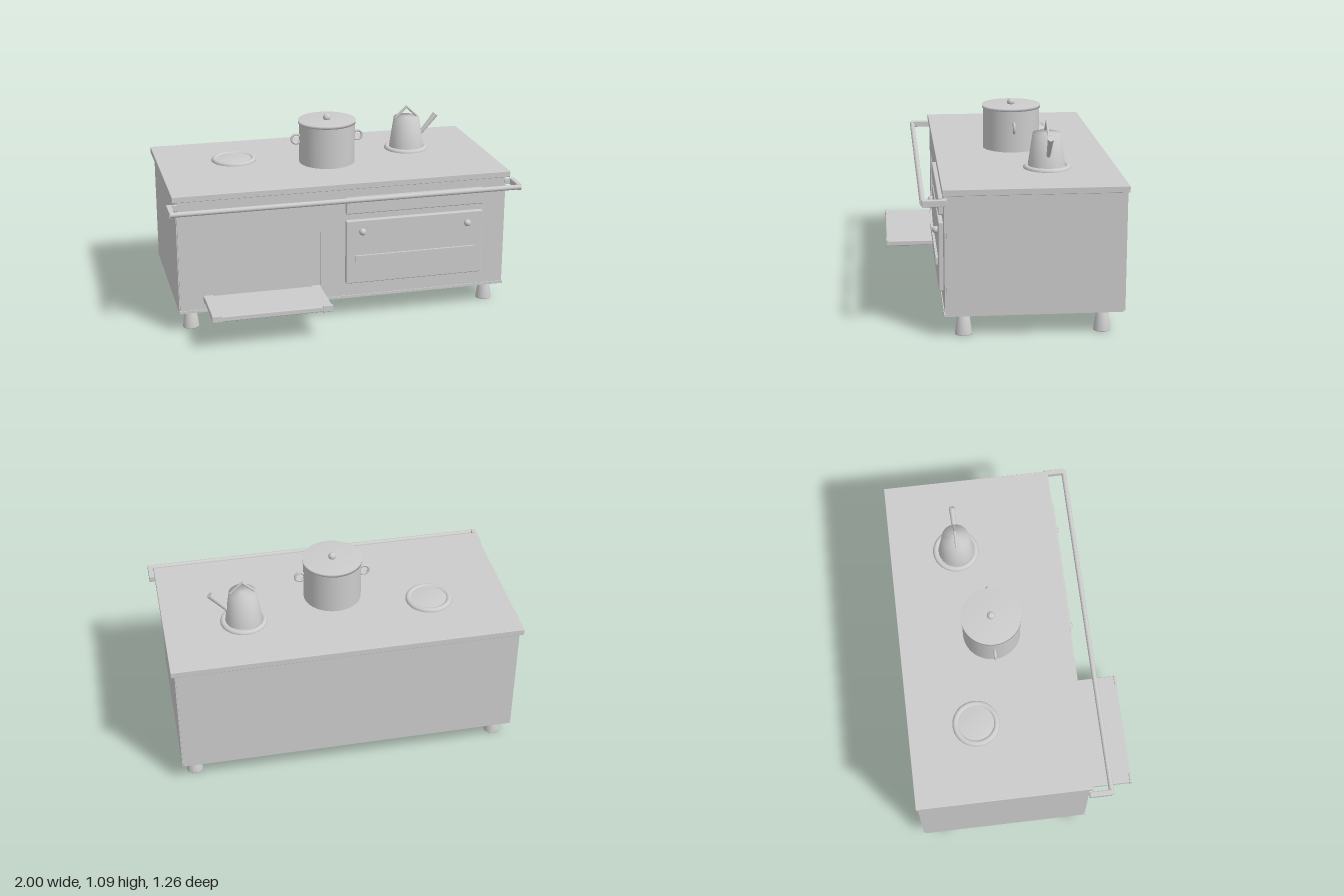
import * as THREE from 'three';
import { RoundedBoxGeometry } from 'three/addons/geometries/RoundedBoxGeometry.js';

const metal = new THREE.MeshStandardMaterial({ color: 0xcccccc });
metal.name = 'grey metal';

export function createModel() {
  const model = new THREE.Group();
  model.name = 'stove';

  const add = (name, geometry, x = 0, y = 0, z = 0, parent = model) => {
    const mesh = new THREE.Mesh(geometry, metal);
    mesh.name = name;
    mesh.position.set(x, y, z);
    parent.add(mesh);
    return mesh;
  };
  // Box given by its limits on each axis, with optional rounded edges
  const box = (name, x0, x1, y0, y1, z0, z1, round = 0) => {
    const s = [x1 - x0, y1 - y0, z1 - z0];
    const g = round ? new RoundedBoxGeometry(...s, 3, round) : new THREE.BoxGeometry(...s);
    return add(name, g, (x0 + x1) / 2, (y0 + y1) / 2, (z0 + z1) / 2);
  };
  // Closed turned solid with softly shaded rims
  const turned = (name, profile, x, y, z, parent) => add(name, new THREE.LatheGeometry(
    profile.map(([r, h]) => new THREE.Vector2(r, h)), 40), x, y, z, parent);

  // Cabinet
  box('cabinet', -0.95, 0.95, 0.12, 0.775, -0.613, 0.32);
  box('backPanel', -0.945, 0.945, 0.125, 0.775, -0.623, -0.613);
  box('worktop', -0.97, 0.97, 0.775, 0.81, -0.63, 0.34, 0.003);
  box('bottomTrim', -0.95, 0.95, 0.12, 0.135, 0.32, 0.335);

  // Front panel with a shallow firebox opening
  const panel = new THREE.Shape([[-0.945, 0.135], [0.945, 0.135], [0.945, 0.775], [-0.945, 0.775]]
    .map(p => new THREE.Vector2(...p)));
  panel.holes.push(new THREE.Path([[-0.81, 0.2], [-0.81, 0.6], [-0.145, 0.6], [-0.145, 0.2]]
    .map(p => new THREE.Vector2(...p))));
  add('frontPanel', new THREE.ExtrudeGeometry(panel, { depth: 0.01, bevelEnabled: false }), 0, 0, 0.32);

  // Tapered feet
  for (const x of [-0.875, 0.875]) for (const z of [-0.51, 0.23]) {
    turned('foot', [[0, 0], [0.046, 0], [0.046, 0.003], [0.03, 0.12], [0, 0.12]], x, 0, z);
  }

  // Towel rail and its brackets
  const rail = add('rail', new THREE.CylinderGeometry(0.014, 0.014, 1.99, 20), 0, 0.746, 0.441);
  rail.rotation.z = Math.PI / 2;
  for (const s of [-1, 1]) {
    const [a, b] = s < 0 ? [-1, -0.972] : [0.972, 1];
    box('railBracket', a, b, 0.728, 0.764, 0.32, 0.445, 0.004);
    // Foot joining the bracket to the cabinet
    box('bracketFoot', Math.min(s * 0.94, s * 0.975), Math.max(s * 0.94, s * 0.975), 0.732, 0.76, 0.315, 0.335);
  }

  // Drawer and oven door
  box('drawer', 0, 0.807, 0.633, 0.727, 0.32, 0.355, 0.006);
  box('ovenDoor', 0, 0.807, 0.215, 0.593, 0.32, 0.355, 0.006);
  box('ovenHandle', 0.05, 0.76, 0.347, 0.385, 0.35, 0.368);
  for (const x of [0.092, 0.712]) add('ovenKnob', new THREE.SphereGeometry(0.02, 24, 16), x, 0.527, 0.364);

  // Firebox door folded down, with corner tabs
  box('fireboxDoor', -0.81, -0.145, 0.18, 0.21, 0.325, 0.625, 0.005);
  for (const x of [-0.785, -0.172]) {
    box('doorTab', x - 0.028, x + 0.028, 0.177, 0.217, 0.612, 0.627, 0.004);
    box('doorHinge', x - 0.028, x + 0.028, 0.172, 0.213, 0.32, 0.345, 0.004);
  }

  // Burner rings and plates
  for (const x of [-0.525, 0.525]) {
    const ring = add('burnerRing', new THREE.TorusGeometry(0.114, 0.017, 16, 48), x, 0.811, -0.252);
    ring.rotation.x = Math.PI / 2;
    turned('burnerPlate', [[0, 0], [0.1, 0], [0.1, 0.012], [0, 0.012]], x, 0.81, -0.252);
  }

  // Stock pot
  const pot = new THREE.Group();
  pot.name = 'pot';
  pot.position.set(0, 0.81, -0.105);
  model.add(pot);
  add('potBody', new THREE.CylinderGeometry(0.162, 0.162, 0.237, 48), 0, 0.1185, 0, pot);
  turned('potLid', [[0, 0], [0.167, 0], [0.167, 0.016], [0, 0.016]], 0, 0.235, 0, pot);
  add('lidKnob', new THREE.SphereGeometry(0.022, 24, 16), 0, 0.262, 0, pot);
  for (const s of [-1, 1]) {
    add('potHandle', new THREE.TorusGeometry(0.027, 0.007, 12, 28), s * 0.183, 0.145, 0, pot);
  }

  // Kettle with angular handle and spout
  const kettle = new THREE.Group();
  kettle.name = 'kettle';
  kettle.position.set(0.525, 0.815, -0.248);
  model.add(kettle);
  turned('kettleBody', [[0, 0], [0.103, 0], [0.103, 0.004], [0.076, 0.188], [0, 0.188]], 0, 0, 0, kettle);
  for (const s of [-1, 1]) {
    const arm = add('kettleHandle', new THREE.CylinderGeometry(0.007, 0.007, 0.1, 12), s * 0.035, 0.217, 0, kettle);
    arm.rotation.z = s * Math.atan2(0.07, 0.066);
  }
  const spout = add('spout', new THREE.CylinderGeometry(0.017, 0.011, 0.15, 16), 0.133, 0.135, 0, kettle);
  spout.rotation.z = -0.7;

  return model;
}
